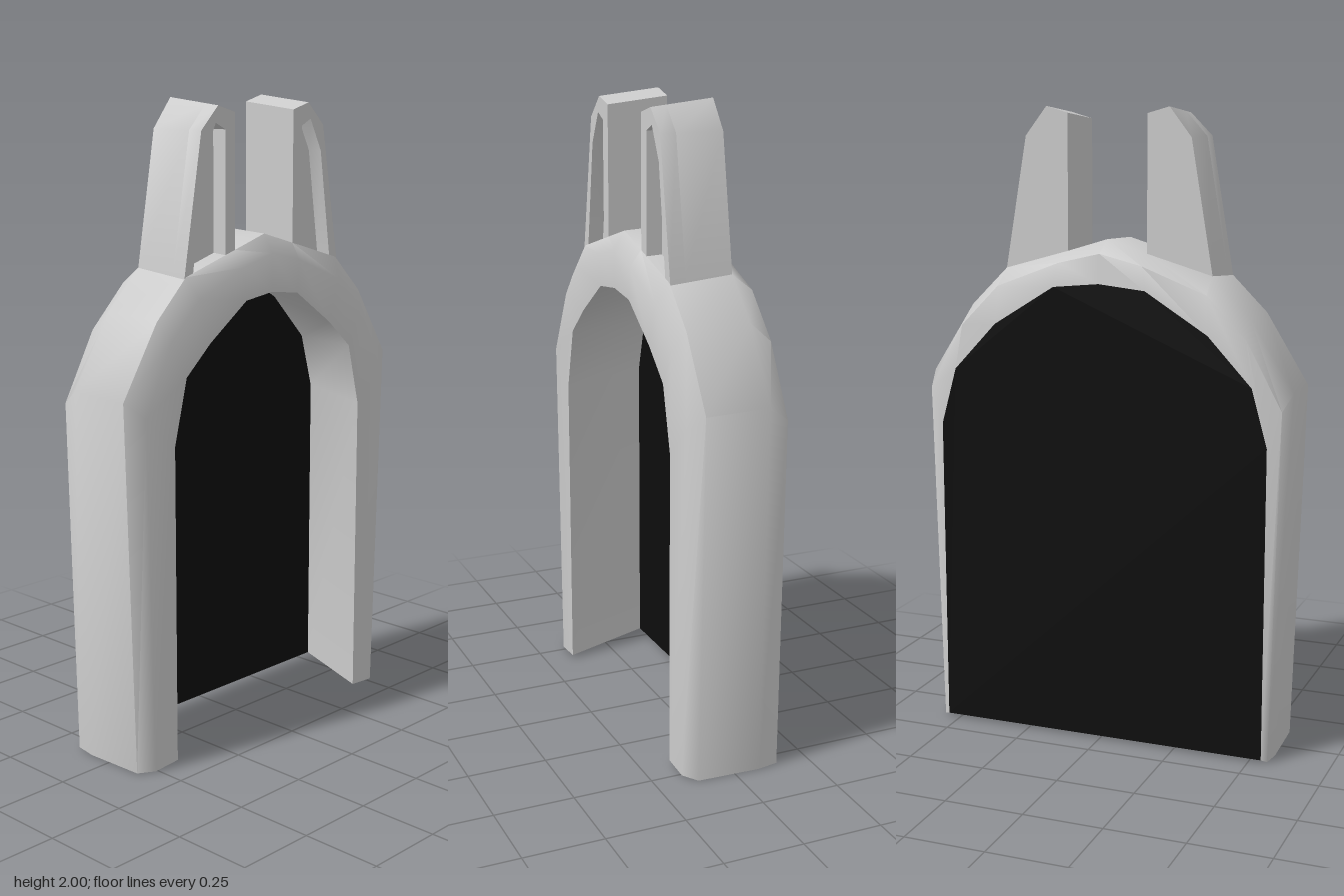
import * as THREE from 'three';
import { toCreasedNormals } from 'three/addons/utils/BufferGeometryUtils.js';

const grey = new THREE.MeshStandardMaterial({ color: 0xcccccc, side: THREE.DoubleSide });
const black = new THREE.MeshStandardMaterial({ color: 0x0d0d0d, side: THREE.DoubleSide });

// Half outlines, from the foot of the left leg up to the crown
const INNER = [[0.42, 0.01], [0.42, 1.0], [0.37, 1.2], [0.27, 1.29], [0.115, 1.4], [0, 1.415]];
const OUTER = [[0.565, 0], [0.6, 1.16], [0.46, 1.38], [0.34, 1.5], [0.13, 1.56], [0, 1.6]];
const PANEL = [[0.54, 0.01], [0.54, 1.0], [0.49, 1.18], [0.35, 1.33], [0.15, 1.455], [0, 1.47]];

// Complete a half outline by mirroring it across x = 0
const mirrored = (half) => [...half, ...half.slice(0, -1).reverse().map(([x, y]) => [-x, y])];
const toward = (a, b, t) => [a[0] + (b[0] - a[0]) * t, a[1] + (b[1] - a[1]) * t];
const shapeOf = (pts) => new THREE.Shape(pts.map(([x, y]) => new THREE.Vector2(x, y)));

// Arch: a rounded cross-section swept up one leg, over the crown and down the other
function archGeometry() {
  const inner = mirrored(INNER), outer = mirrored(OUTER), panel = mirrored(PANEL);
  const rings = inner.map((p, i) => [
    [...p, 0.155],
    [...toward(outer[i], p, 0.36), 0.155],
    [...toward(outer[i], p, 0.05), 0.12],
    [...outer[i], -0.08],
    [...toward(outer[i], panel[i], 0.3), -0.145],
    [...panel[i], -0.155],
  ]);
  const n = rings[0].length, last = rings.length - 1, pos = [];
  const tri = (...corners) => corners.forEach((c) => pos.push(...c));
  for (let i = 0; i < last; i++) {
    for (let k = 0; k < n; k++) {
      const j = (k + 1) % n;
      tri(rings[i][k], rings[i][j], rings[i + 1][j]);
      tri(rings[i][k], rings[i + 1][j], rings[i + 1][k]);
    }
  }
  // Soles of both legs
  for (let k = 1; k < n - 1; k++) {
    tri(rings[0][0], rings[0][k + 1], rings[0][k]);
    tri(rings[last][0], rings[last][k], rings[last][k + 1]);
  }
  const geo = new THREE.BufferGeometry();
  geo.setAttribute('position', new THREE.Float32BufferAttribute(pos, 3));
  return toCreasedNormals(geo, 0.9);
}

// Slice of an ear between two depths; the tip slopes down toward the front
function earSlice(shape, zBack, zFront) {
  const geo = new THREE.ExtrudeGeometry(shape, { depth: zFront - zBack, bevelEnabled: false });
  geo.translate(0, 0, zBack);
  const p = geo.attributes.position;
  for (let i = 0; i < p.count; i++) {
    if (p.getY(i) > 1.94) p.setY(i, p.getY(i) - (p.getZ(i) + 0.08) * 0.1);
  }
  return toCreasedNormals(geo, 0.8);
}

// Ear: solid back part plus a raised frame around the hollow
function createEar(side) {
  const flip = (pts) => pts.map(([x, y]) => [x * side, y]);
  const outline = flip([[0.13, 1.47], [0.355, 1.41], [0.34, 1.5], [0.27, 1.91], [0.2, 2.0], [0.13, 1.98]]);
  const hollow = flip([[0.17, 1.535], [0.307, 1.495], [0.26, 1.83], [0.21, 1.93], [0.17, 1.91]]);
  const frameShape = shapeOf(outline);
  frameShape.holes.push(shapeOf(hollow));

  const ear = new THREE.Group();
  const back = new THREE.Mesh(earSlice(shapeOf(outline), -0.08, 0.07), grey);
  back.name = 'earBack';
  const frame = new THREE.Mesh(earSlice(frameShape, 0.07, 0.12), grey);
  frame.name = 'earFrame';
  ear.add(back, frame);
  return ear;
}

export function createModel() {
  const model = new THREE.Group();
  model.name = 'earedArchway';

  const arch = new THREE.Mesh(archGeometry(), grey);
  arch.name = 'arch';
  model.add(arch);

  // Dark panel closing the back of the opening
  const panel = new THREE.Mesh(new THREE.ShapeGeometry(shapeOf(mirrored(PANEL))), black);
  panel.name = 'backPanel';
  panel.position.z = -0.155;
  model.add(panel);

  for (const side of [1, -1]) {
    const ear = createEar(side);
    ear.name = side > 0 ? 'leftEar' : 'rightEar';
    model.add(ear);
  }
  return model;
}
